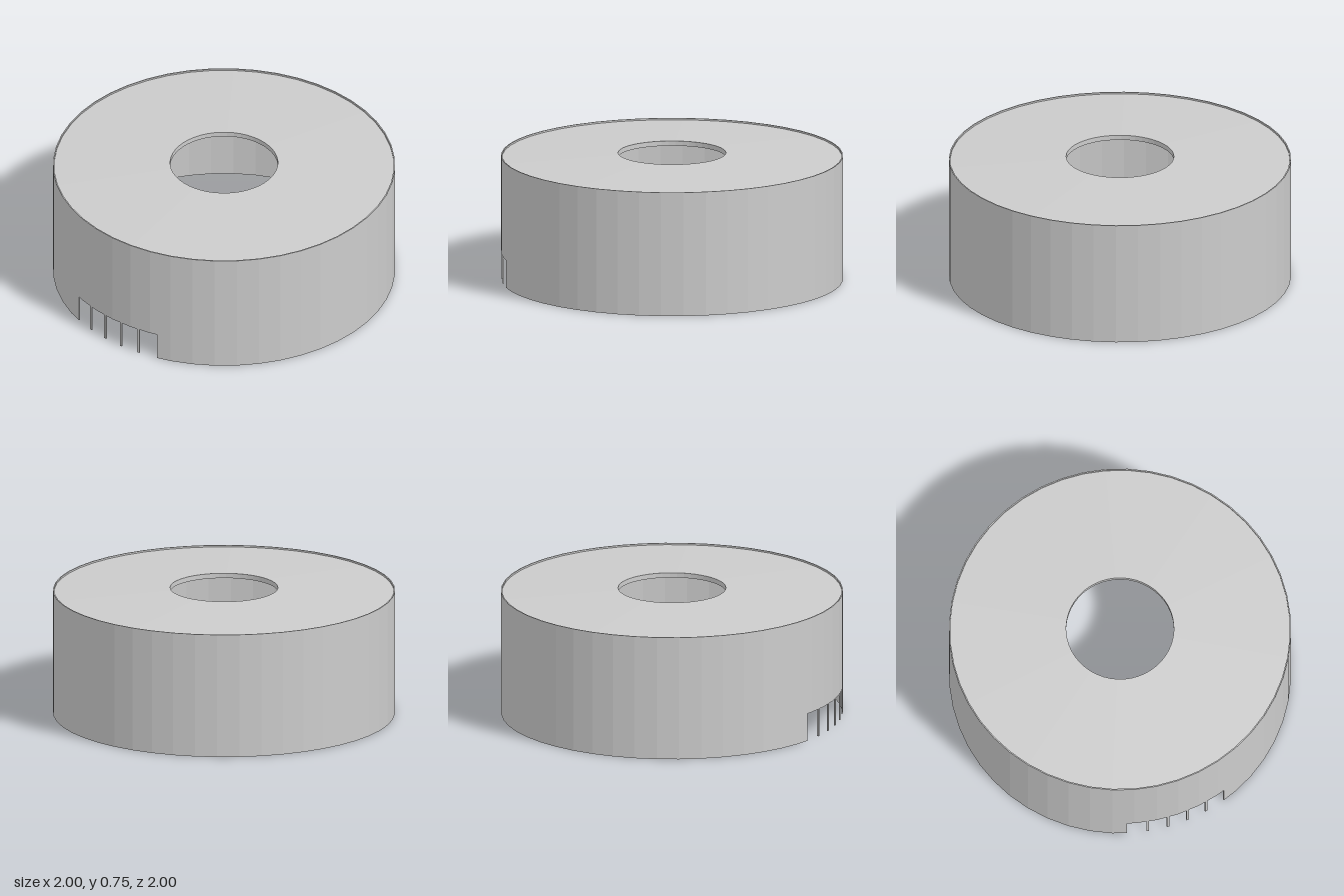
import * as THREE from 'three';

const SIDES = 48, STEP = 360 / SIDES;
const R_OUT = 1, R_IN = 0.993;
const WALL_TOP = 0.74, SLOT_TOP = 0.165;
const SLOT_HALF = 17.5, SLOT_PITCH = 7, PIN_HALF = 0.45;

const material = new THREE.MeshStandardMaterial({ color: 0xcccccc, flatShading: true });
const rad = THREE.MathUtils.degToRad;

// Point at an angle (degrees) on the faceted circle of the given corner radius
function onPolygon(r, a) {
  const off = ((a % STEP) + STEP) % STEP - STEP / 2;
  const d = r * Math.cos(rad(STEP / 2)) / Math.cos(rad(off));
  return new THREE.Vector2(d * Math.cos(rad(a)), d * Math.sin(rad(a)));
}

// Angles of all facet corners between two ends, ends included
function anglesBetween(a0, a1) {
  const list = [a0];
  for (let a = (Math.floor(a0 / STEP) + 1) * STEP; a < a1 - 1e-6; a += STEP) list.push(a);
  list.push(a1);
  return list;
}

function addRaised(group, name, shape, y0, y1) {
  const geometry = new THREE.ExtrudeGeometry(shape, { depth: y1 - y0, bevelEnabled: false });
  geometry.rotateX(-Math.PI / 2).translate(0, y0, 0);
  const mesh = new THREE.Mesh(geometry, material);
  mesh.name = name;
  group.add(mesh);
}

// Curved piece of the thin wall
function addWallArc(group, name, a0, a1, y0, y1) {
  const angles = anglesBetween(a0, a1);
  const outer = angles.map(a => onPolygon(R_OUT, a));
  const inner = angles.map(a => onPolygon(R_IN, a)).reverse();
  addRaised(group, name, new THREE.Shape([...outer, ...inner]), y0, y1);
}

export function createModel() {
  const group = new THREE.Group();
  group.name = 'cover';

  // Full ring above the slots
  const corners = r => Array.from({ length: SIDES }, (_, i) => onPolygon(r, i * STEP));
  const ring = new THREE.Shape(corners(R_OUT));
  ring.holes.push(new THREE.Path(corners(R_IN)));
  addRaised(group, 'upperWall', ring, SLOT_TOP, WALL_TOP);

  // Lower wall, open around the -x side
  addWallArc(group, 'lowerWall', SLOT_HALF - 180, 180 - SLOT_HALF, 0, SLOT_TOP);

  // Thin pins dividing the opening into five slots
  for (let i = 0; i < 4; i++) {
    const a = 180 + (i - 1.5) * SLOT_PITCH;
    addWallArc(group, 'slotPin', a - PIN_HALF, a + PIN_HALF, 0, SLOT_TOP);
  }

  // Lid: flat below, gently conical above, with a central hole
  const profile = [[0.315, 0.726], [0.994, 0.726], [0.994, 0.73], [0.315, 0.755], [0.315, 0.726]];
  const lid = new THREE.Mesh(
    new THREE.LatheGeometry(profile.map(p => new THREE.Vector2(...p)), SIDES), material);
  lid.name = 'lid';
  group.add(lid);

  return group;
}
